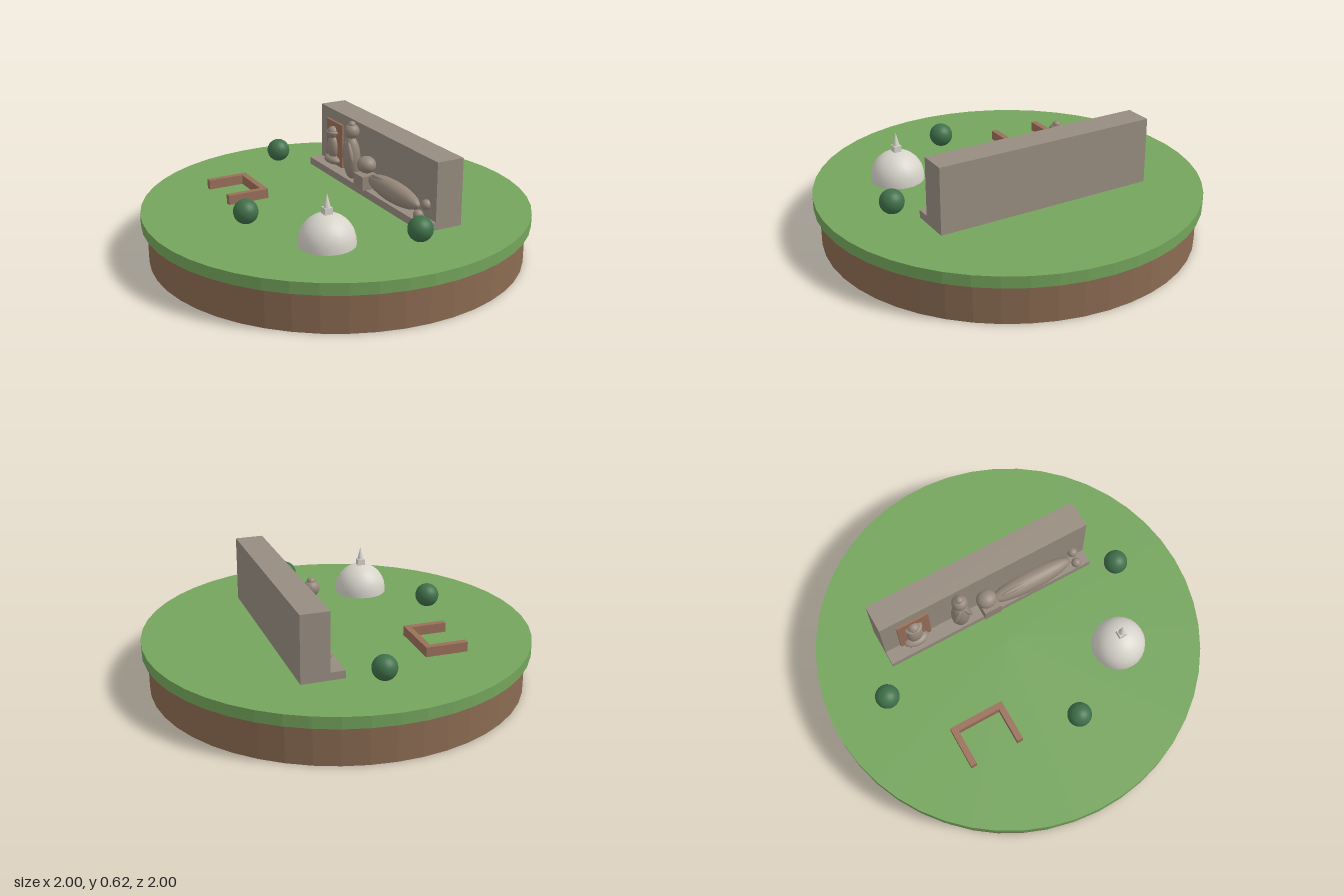
import * as THREE from 'three';

const mat = (name, color, flatShading = false) => {
  const m = new THREE.MeshStandardMaterial({ color, flatShading });
  m.name = name;
  return m;
};

export function createModel() {
  const earth = mat('earth', 0x8b6b52, true);
  const grass = mat('grass', 0x74a45c, true);
  const rock = mat('rock', 0x978c80);
  const statue = mat('statue stone', 0x95877a);
  const brick = mat('brick', 0x99705a);
  const plaster = mat('plaster', 0xd6d3ca);
  const leaf = mat('leaf', 0x40704a);

  const add = (parent, name, geo, m, x, y, z) => {
    const mesh = new THREE.Mesh(geo, m);
    mesh.name = name;
    mesh.position.set(x, y, z);
    parent.add(mesh);
    return mesh;
  };
  const box = (p, name, m, w, h, d, x, y, z) =>
    add(p, name, new THREE.BoxGeometry(w, h, d), m, x, y, z);
  const blob = (p, name, m, rx, ry, rz, x, y, z) =>
    add(p, name, new THREE.SphereGeometry(1, 24, 16).scale(rx, ry, rz), m, x, y, z);
  const group = (p, name, x, y, z, ry = 0) => {
    const g = new THREE.Group();
    g.name = name;
    g.position.set(x, y, z);
    g.rotation.y = ry;
    p.add(g);
    return g;
  };

  const root = new THREE.Group();
  root.name = 'templeIsland';
  const ground = 0.26;
  const turn = -0.349;

  // Round base
  add(root, 'earthBase', new THREE.CylinderGeometry(0.97, 0.97, 0.2, 48), earth, 0, 0.1, 0);
  add(root, 'grassDisc', new THREE.CylinderGeometry(1, 1, 0.06, 48), grass, 0, 0.23, 0);

  // Rock wall with ledge and niche
  const shrine = group(root, 'rockShrine', 0.1, ground, -0.286, turn);
  box(shrine, 'rockWall', rock, 1.177, 0.345, 0.147, 0, 0.1725, 0);
  box(shrine, 'ledge', rock, 1.177, 0.04, 0.075, 0, 0.02, 0.1105);
  box(shrine, 'nichePanel', brick, 0.176, 0.245, 0.02, -0.417, 0.1625, 0.076);

  // Seated figure
  const seated = group(shrine, 'seatedFigure', -0.42, 0.04, 0.092);
  blob(seated, 'foldedLegs', statue, 0.068, 0.026, 0.042, 0, 0.03, 0);
  blob(seated, 'torso', statue, 0.043, 0.068, 0.032, 0, 0.1, 0);
  blob(seated, 'head', statue, 0.033, 0.035, 0.033, 0, 0.185, 0);
  blob(seated, 'hairBand', statue, 0.047, 0.011, 0.036, 0, 0.188, 0);

  // Standing figure
  const standing = group(shrine, 'standingFigure', -0.167, 0.04, 0.115);
  blob(standing, 'robe', statue, 0.05, 0.118, 0.045, 0, 0.115, 0);
  blob(standing, 'head', statue, 0.041, 0.041, 0.041, 0, 0.262, 0);
  blob(standing, 'topKnot', statue, 0.021, 0.019, 0.021, 0, 0.298, 0);
  for (const s of [-1, 1]) {
    const arm = blob(standing, 'foldedArm', statue, 0.014, 0.055, 0.014, s * 0.031, 0.155, 0.026);
    arm.rotation.z = s * 0.35;
  }

  // Reclining figure
  const reclining = group(shrine, 'recliningFigure', 0, 0, 0);
  box(reclining, 'pillow', statue, 0.093, 0.075, 0.092, -0.006, 0.0775, 0.121);
  blob(reclining, 'head', statue, 0.055, 0.045, 0.05, -0.015, 0.16, 0.111);
  blob(reclining, 'body', statue, 0.237, 0.056, 0.054, 0.25, 0.096, 0.108);
  const arm = blob(reclining, 'restingArm', statue, 0.1, 0.015, 0.015, 0.165, 0.132, 0.124);
  arm.rotation.z = 0.04;
  blob(reclining, 'upperFoot', statue, 0.026, 0.026, 0.026, 0.515, 0.11, 0.083);
  blob(reclining, 'lowerFoot', statue, 0.026, 0.026, 0.026, 0.515, 0.066, 0.128);

  // Ruined foundation, open to the front
  const ruin = group(root, 'brickRuin', -0.428, ground, 0.155, turn);
  box(ruin, 'backWall', brick, 0.294, 0.05, 0.032, 0, 0.025, 0.016);
  for (const s of [-1, 1])
    box(ruin, 'sideWall', brick, 0.032, 0.05, 0.19, s * 0.131, 0.025, 0.125);

  // Domed shrine with spire
  const stupa = group(root, 'domedShrine', 0.348, ground, 0.455, turn);
  const dome = [new THREE.Vector2(0.139, 0)];
  for (let i = 0; i <= 8; i++) {
    const a = (i / 8) * Math.PI / 2;
    dome.push(new THREE.Vector2(0.139 * Math.cos(a), 0.016 + 0.139 * Math.sin(a)));
  }
  add(stupa, 'dome', new THREE.LatheGeometry(dome, 24), plaster, 0, 0, 0);
  box(stupa, 'spireBlock', plaster, 0.04, 0.04, 0.04, 0, 0.165, 0);
  add(stupa, 'spire', new THREE.ConeGeometry(0.018, 0.072, 12), plaster, 0, 0.219, 0);

  // Bushes
  for (const [x, z] of [[-0.652, -0.24], [-0.094, 0.553], [0.674, 0.168]])
    blob(root, 'bush', leaf, 0.062, 0.062, 0.062, x, 0.337, z);

  return root;
}
